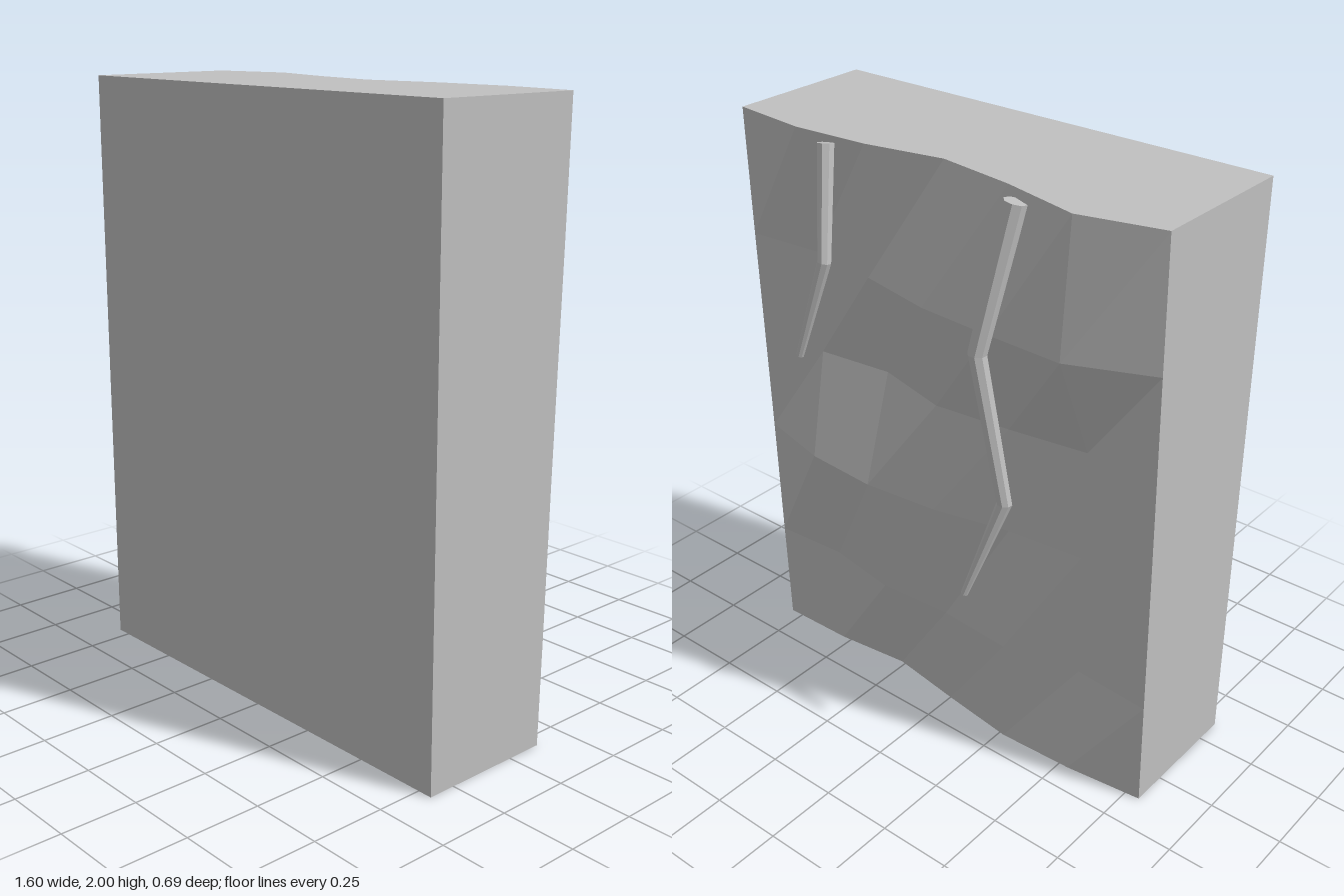
import * as THREE from 'three';

const stone = new THREE.MeshStandardMaterial({ color: 0xc0c0c0, flatShading: true });
stone.name = 'grey stone';

// Flat-faced geometry from quads, corners counter-clockwise from outside
function fromQuads(quads) {
  const pos = [];
  for (const [a, b, c, d] of quads) {
    for (const p of [a, b, c, a, c, d]) pos.push(p.x, p.y, p.z);
  }
  const g = new THREE.BufferGeometry();
  g.setAttribute('position', new THREE.Float32BufferAttribute(pos, 3));
  g.computeVertexNormals();
  return g;
}

const V = (x, y, z) => new THREE.Vector3(x, y, z);

// Wall block: flat front and sides, faceted rocky back
function wallGeometry() {
  const W = 0.8, FRONT = 0.345, COLS = 6;
  const rowY = [0, 0.385, 0.835, 1.21, 1.57, 2];
  // Depth of the back surface in each row, from -x to +x
  const depth = [
    [0.125, 0.155, 0.165, 0.13, 0.09, 0.12, 0.125],
    [0.135, 0.115, 0.17, 0.15, 0.165, 0.12, 0.135],
    [0.145, 0.125, 0.15, 0.208, 0.232, 0.213, 0.145],
    [0.155, 0.12, 0.158, 0.185, 0.115, 0.143, 0.155],
    [0.165, 0.275, 0.265, 0.248, 0.19, 0.145, 0.165],
    [0.175, 0.24, 0.175, 0.135, 0.187, 0.205, 0.175],
  ];
  const x = i => -W + (2 * W * i) / COLS;
  const back = (i, j) => V(x(i), rowY[j], -depth[j][i]);
  const front = (i, j) => V(x(i), rowY[j], FRONT);
  const top = rowY.length - 1;
  const quads = [[front(0, 0), front(COLS, 0), front(COLS, top), front(0, top)]];
  for (let j = 0; j < top; j++) {
    for (let i = 0; i < COLS; i++) {
      quads.push([back(i + 1, j), back(i, j), back(i, j + 1), back(i + 1, j + 1)]);
    }
    quads.push([front(COLS, j), back(COLS, j), back(COLS, j + 1), front(COLS, j + 1)]);
    quads.push([back(0, j), front(0, j), front(0, j + 1), back(0, j + 1)]);
  }
  for (let i = 0; i < COLS; i++) {
    quads.push([front(i, top), front(i + 1, top), back(i + 1, top), back(i, top)]);
    quads.push([back(i, 0), back(i + 1, 0), front(i + 1, 0), front(i, 0)]);
  }
  return fromQuads(quads);
}

// Tapered, bent root: mitred rings along a path, capped at both ends
function rootGeometry(points, radii) {
  const SIDES = 8;
  const rings = points.map((p, k) => {
    const dir = V(0, 0, 0);
    if (k > 0) dir.add(p.clone().sub(points[k - 1]).normalize());
    if (k < points.length - 1) dir.add(points[k + 1].clone().sub(p).normalize());
    dir.normalize();
    const u = V(1, 0, 0).addScaledVector(dir, -dir.x).normalize();
    const v = dir.clone().cross(u);
    return Array.from({ length: SIDES }, (_, s) => {
      const a = ((s + 0.5) / SIDES) * Math.PI * 2;
      return p.clone()
        .addScaledVector(u, Math.cos(a) * radii[k])
        .addScaledVector(v, Math.sin(a) * radii[k]);
    });
  });
  const quads = [];
  const last = rings.length - 1;
  for (let s = 0; s < SIDES; s++) {
    const t = (s + 1) % SIDES;
    for (let k = 0; k < last; k++) {
      quads.push([rings[k][s], rings[k][t], rings[k + 1][t], rings[k + 1][s]]);
    }
  }
  // End caps as quad fans
  for (let s = 1; s < SIDES - 1; s += 2) {
    const a = rings[0], b = rings[last];
    quads.push([a[0], a[s + 2] || a[0], a[s + 1], a[s]]);
    quads.push([b[0], b[s], b[s + 1], b[s + 2] || b[0]]);
  }
  return fromQuads(quads);
}

export function createModel() {
  const model = new THREE.Group();
  model.name = 'rockWall';
  const add = (name, geometry) => {
    const mesh = new THREE.Mesh(geometry, stone);
    mesh.name = name;
    model.add(mesh);
  };

  add('wallBlock', wallGeometry());

  // Roots hanging down the rocky back
  add('longRoot', rootGeometry(
    [V(-0.325, 1.975, -0.215), V(-0.26, 1.52, -0.3), V(-0.342, 1.03, -0.27), V(-0.235, 0.68, -0.332)],
    [0.036, 0.03, 0.025, 0.012]));
  add('shortRoot', rootGeometry(
    [V(0.4, 1.98, -0.212), V(0.357, 1.63, -0.287), V(0.465, 1.285, -0.312)],
    [0.028, 0.023, 0.013]));

  return model;
}
